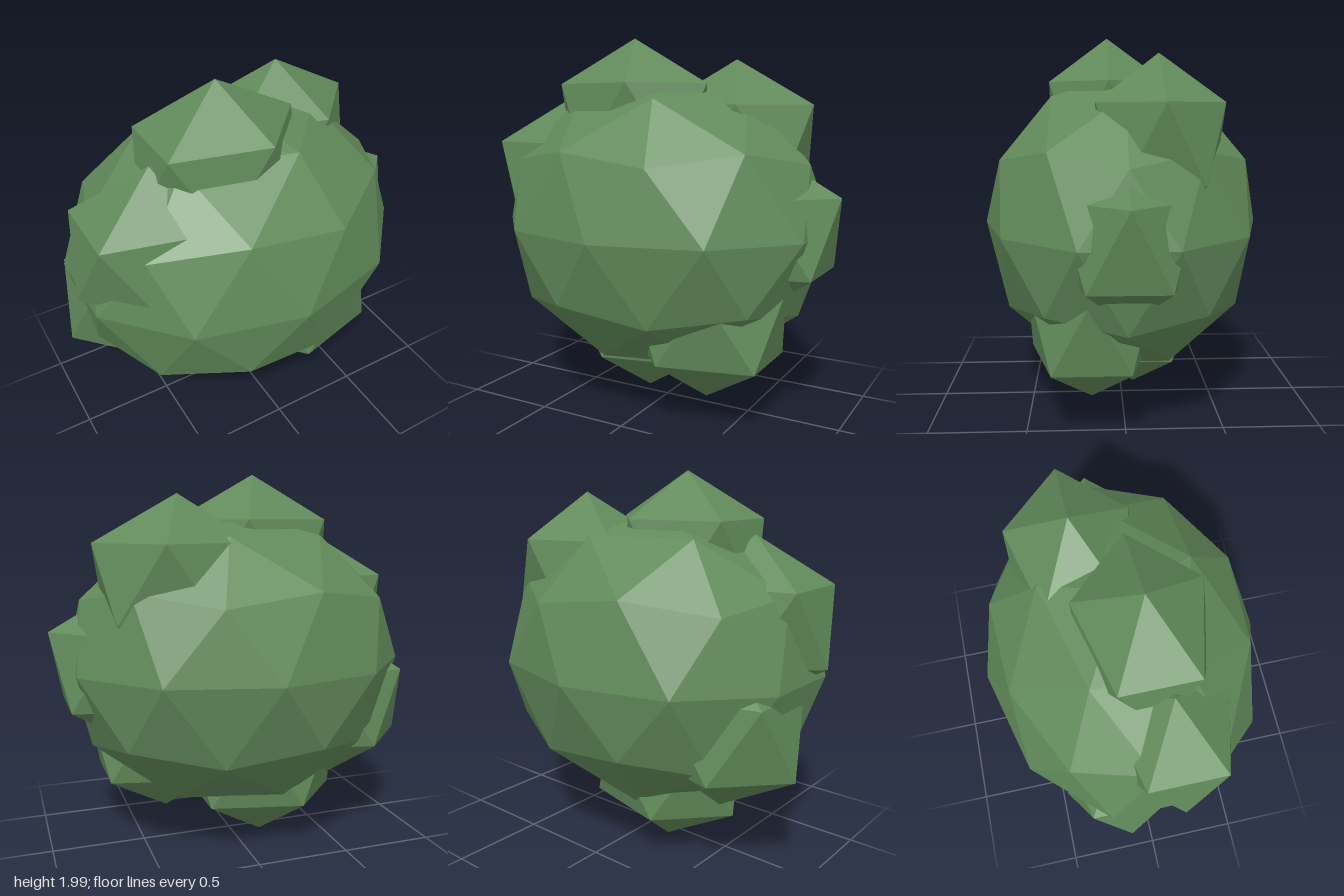
import * as THREE from 'three';

// Faceted ball with a corner pointing straight up and an upper-ring corner towards +x
function facetedBall(detail, rx, ry, rz) {
  const geometry = new THREE.IcosahedronGeometry(1, detail);
  geometry.rotateZ(-Math.atan2(2, 1 + Math.sqrt(5)));
  geometry.scale(rx, ry, rz);
  geometry.computeVertexNormals();
  return geometry;
}

export function createModel() {
  const group = new THREE.Group();
  group.name = 'bush';

  const leafGreen = new THREE.MeshStandardMaterial({ color: 0x618a5a, flatShading: true });
  leafGreen.name = 'leafGreen';

  const add = (name, geometry, x, y, z) => {
    const mesh = new THREE.Mesh(geometry, leafGreen);
    mesh.name = name;
    mesh.position.set(x, y, z);
    group.add(mesh);
  };

  // Main foliage mass
  add('foliageBody', facetedBall(1, 0.936, 0.8, 0.747), -0.03, 1.0, 0);

  // Ring of seven smaller clumps around the body, staggered in depth
  const clump = facetedBall(0, 0.481, 0.434, 0.37);
  const centres = [
    [0.54, 1.005, 0],
    [0.33, 1.456, -0.17],
    [-0.16, 1.566, 0.075],
    [-0.545, 1.254, 0.135],
    [-0.545, 0.754, -0.135],
    [-0.16, 0.44, -0.075],
    [0.33, 0.554, 0.17],
  ];
  centres.forEach(([x, y, z], i) => add(`leafClump${i + 1}`, clump, x, y, z));

  return group;
}
